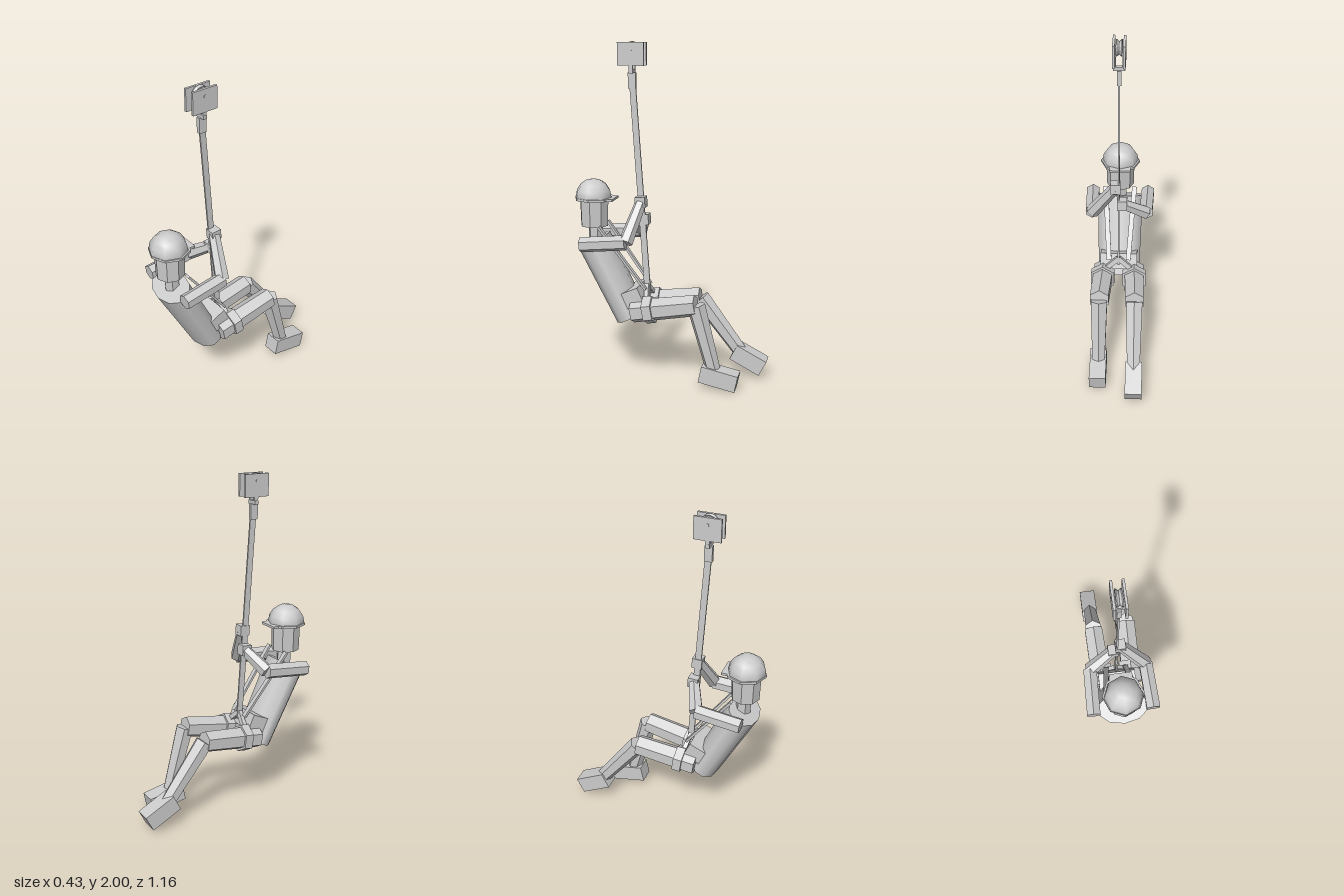
import * as THREE from 'three';

const smooth = new THREE.MeshStandardMaterial({ color: 0xcccccc });
const flat = new THREE.MeshStandardMaterial({ color: 0xcccccc, flatShading: true });

export function createModel() {
  const model = new THREE.Group();

  const add = (name, geometry, pos = [0, 0, 0], mat = flat) => {
    const mesh = new THREE.Mesh(geometry, mat);
    mesh.name = name;
    mesh.position.set(...pos);
    model.add(mesh);
    return mesh;
  };
  const box = (name, size, pos, tilt = 0) => {
    const mesh = add(name, new THREE.BoxGeometry(...size), pos);
    mesh.rotation.x = tilt;
    return mesh;
  };
  // Stretch a geometry centred on its y axis from a to b, keeping its x axis sideways
  const span = (name, a, b, makeGeometry, mat) => {
    const A = new THREE.Vector3(...a), B = new THREE.Vector3(...b);
    const y = B.clone().sub(A), length = y.length();
    y.normalize();
    const x = new THREE.Vector3(1, 0, 0).addScaledVector(y, -y.x).normalize();
    const z = new THREE.Vector3().crossVectors(x, y);
    const mid = A.add(B).multiplyScalar(0.5);
    const mesh = add(name, makeGeometry(length), mid.toArray(), mat);
    mesh.quaternion.setFromRotationMatrix(new THREE.Matrix4().makeBasis(x, y, z));
    return mesh;
  };
  const limb = (name, a, b, ra, rb, sides = 6, mat = flat) =>
    span(name, a, b, (l) => new THREE.CylinderGeometry(rb, ra, l, sides), mat);
  const band = (name, a, b, w, d) =>
    span(name, a, b, (l) => new THREE.BoxGeometry(w, l, d));

  // Leaning torso, flattened front to back
  limb('torso', [0, 0.376, 0.24], [0, 0.832, 0.467], 0.135, 0.15, 10, smooth).scale.z = 0.65;
  limb('neck', [0, 0.82, 0.455], [0, 0.95, 0.46], 0.045, 0.045, 6);
  add('head', new THREE.CylinderGeometry(0.088, 0.084, 0.17, 8), [0, 1.005, 0.465]);

  // Helmet: dome, rim and a short peak over the face
  add('helmetDome', new THREE.SphereGeometry(0.112, 8, 4, 0, Math.PI * 2, 0, Math.PI / 2),
    [0, 1.09, 0.468], smooth);
  add('helmetRim', new THREE.CylinderGeometry(0.12, 0.12, 0.014, 8), [0, 1.086, 0.462]);
  box('helmetPeak', [0.13, 0.014, 0.07], [0, 1.086, 0.37]);

  // Arms: the left hand grips the strap above the right one
  for (const [side, s, hand] of [['left', 1, [0.02, 1.08, 0.17]], ['right', -1, [-0.02, 0.97, 0.16]]]) {
    const elbow = [s * 0.165, 0.865, 0.225];
    limb(side + 'UpperArm', [s * 0.175, 0.84, 0.495], elbow, 0.045, 0.045);
    limb(side + 'Forearm', elbow, hand, 0.043, 0.034);
    box(side + 'Hand', [0.06, 0.062, 0.06], hand, 0.07);
  }

  // Legs: each has its own knee bend and foot pitch
  const legs = [
    { side: 'left', s: 1, knee: [0.5, -0.18], ankle: [0.12, -0.285], foot: [0.075, -0.323], length: 0.22, pitch: -0.2 },
    { side: 'right', s: -1, knee: [0.48, -0.165], ankle: [0.16, -0.41], foot: [0.12, -0.465], length: 0.2, pitch: -0.47 },
  ];
  for (const { side, s, knee, ankle, foot, length, pitch } of legs) {
    const hip = new THREE.Vector3(s * 0.095, 0.43, 0.205);
    const kneeAt = new THREE.Vector3(s * 0.106, ...knee);
    limb(side + 'Thigh', hip.toArray(), kneeAt.toArray(), 0.07, 0.064);
    limb(side + 'Shin', kneeAt.toArray(), [s * 0.108, ...ankle], 0.056, 0.044);
    box(side + 'Foot', [0.1, 0.1, length], [s * 0.11, ...foot], pitch);
    const loopStart = hip.clone().lerp(kneeAt, 0.2), loopEnd = hip.clone().lerp(kneeAt, 0.34);
    limb(side + 'LegLoop', loopStart.toArray(), loopEnd.toArray(), 0.084, 0.083);
    // Harness straps: shoulder to waist, and leg loop to hanging point
    band(side + 'ShoulderStrap', [s * 0.09, 0.93, 0.41], [s * 0.06, 0.56, 0.135], 0.03, 0.014);
    band(side + 'LoopStrap', [s * 0.08, 0.5, 0.125], [0, 0.57, 0.14], 0.03, 0.025);
  }
  box('waistBelt', [0.23, 0.1, 0.125], [0, 0.51, 0.21], 0.42);

  // Flat hanging strap with its upper connector
  band('hangingStrap', [0, 0.53, 0.138], [0, 1.76, 0.221], 0.01, 0.037);
  box('strapConnector', [0.024, 0.09, 0.045], [0, 1.78, 0.223]);

  // Pulley: yoke, two cheek plates, grooved wheel and axle
  box('yokeBar', [0.066, 0.022, 0.024], [0, 1.833, 0.223]);
  for (const s of [-1, 1]) {
    box('yokeArm', [0.012, 0.08, 0.024], [s * 0.025, 1.865, 0.223]);
    box('cheekPlate', [0.014, 0.13, 0.155], [s * 0.03, 1.93, 0.223]);
  }
  const wheelProfile = [[0, -0.018], [0.046, -0.018], [0.046, -0.012], [0.036, 0],
    [0.046, 0.012], [0.046, 0.018], [0, 0.018]].map(([r, y]) => new THREE.Vector2(r, y));
  const wheel = add('pulleyWheel', new THREE.LatheGeometry(wheelProfile, 12), [0, 1.954, 0.223]);
  const axle = add('pulleyAxle', new THREE.CylinderGeometry(0.009, 0.009, 0.08, 8), [0, 1.954, 0.223]);
  wheel.rotation.z = axle.rotation.z = Math.PI / 2;

  return model;
}
